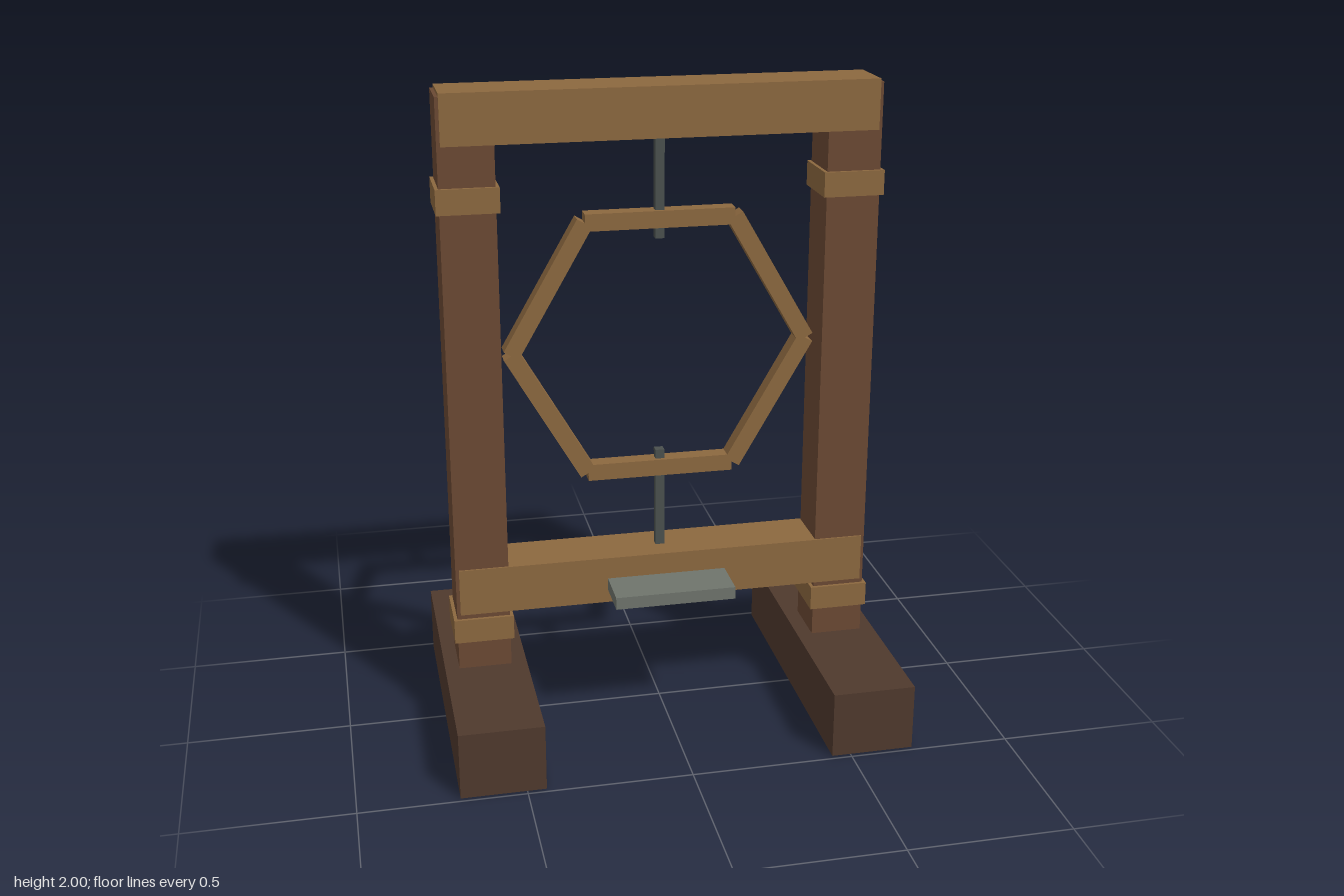
import * as THREE from 'three';

function material(name, color) {
  const m = new THREE.MeshStandardMaterial({ color });
  m.name = name;
  return m;
}

export function createModel() {
  const darkWood = material('dark wood', 0x4f392d);
  const postWood = material('post wood', 0x6b4933);
  const lightWood = material('light wood', 0x8c683f);
  const iron = material('dark iron', 0x4a504e);
  const stone = material('grey plate', 0x6f746c);

  const model = new THREE.Group();
  model.name = 'hexagonFrameStand';

  // Box given by its size and centre
  function box(name, mat, w, h, d, x, y, z = 0, parent = model) {
    const mesh = new THREE.Mesh(new THREE.BoxGeometry(w, h, d), mat);
    mesh.name = name;
    mesh.position.set(x, y, z);
    parent.add(mesh);
    return mesh;
  }

  // Feet, posts and bands, mirrored left and right
  for (const [side, s] of [['left', 1], ['right', -1]]) {
    box(side + 'Foot', darkWood, 0.256, 0.21, 0.97, s * 0.57, 0.105);
    box(side + 'Post', postWood, 0.163, 1.78, 0.163, s * 0.572, 1.1);
    box(side + 'UpperBand', lightWood, 0.184, 0.075, 0.184, s * 0.572, 1.693);
    box(side + 'LowerBand', lightWood, 0.184, 0.077, 0.184, s * 0.572, 0.341);
  }

  // Cross beams
  box('topBeam', lightWood, 1.286, 0.15, 0.174, 0, 1.925);
  box('lowerBeam', lightWood, 1.286, 0.15, 0.174, 0, 0.47);

  // Hexagonal ring of six straight bars
  const ring = new THREE.Group();
  ring.name = 'hexagonRing';
  ring.position.y = 1.204;
  model.add(ring);
  for (let i = 0; i < 6; i++) {
    const a = Math.PI / 6 + i * Math.PI / 3;
    const bar = box('ringBar', lightWood, 0.454, 0.052, 0.052,
      0.394 * Math.cos(a), 0.394 * Math.sin(a), 0, ring);
    bar.rotation.z = a - Math.PI / 2;
  }

  // Rods holding the ring
  box('upperRod', iron, 0.028, 0.33, 0.028, 0, 1.703);
  box('lowerRod', iron, 0.028, 0.33, 0.028, 0, 0.7);

  // Plate floating before the lower beam
  box('frontPlate', stone, 0.372, 0.039, 0.14, 0, 0.47, 0.185);

  return model;
}
